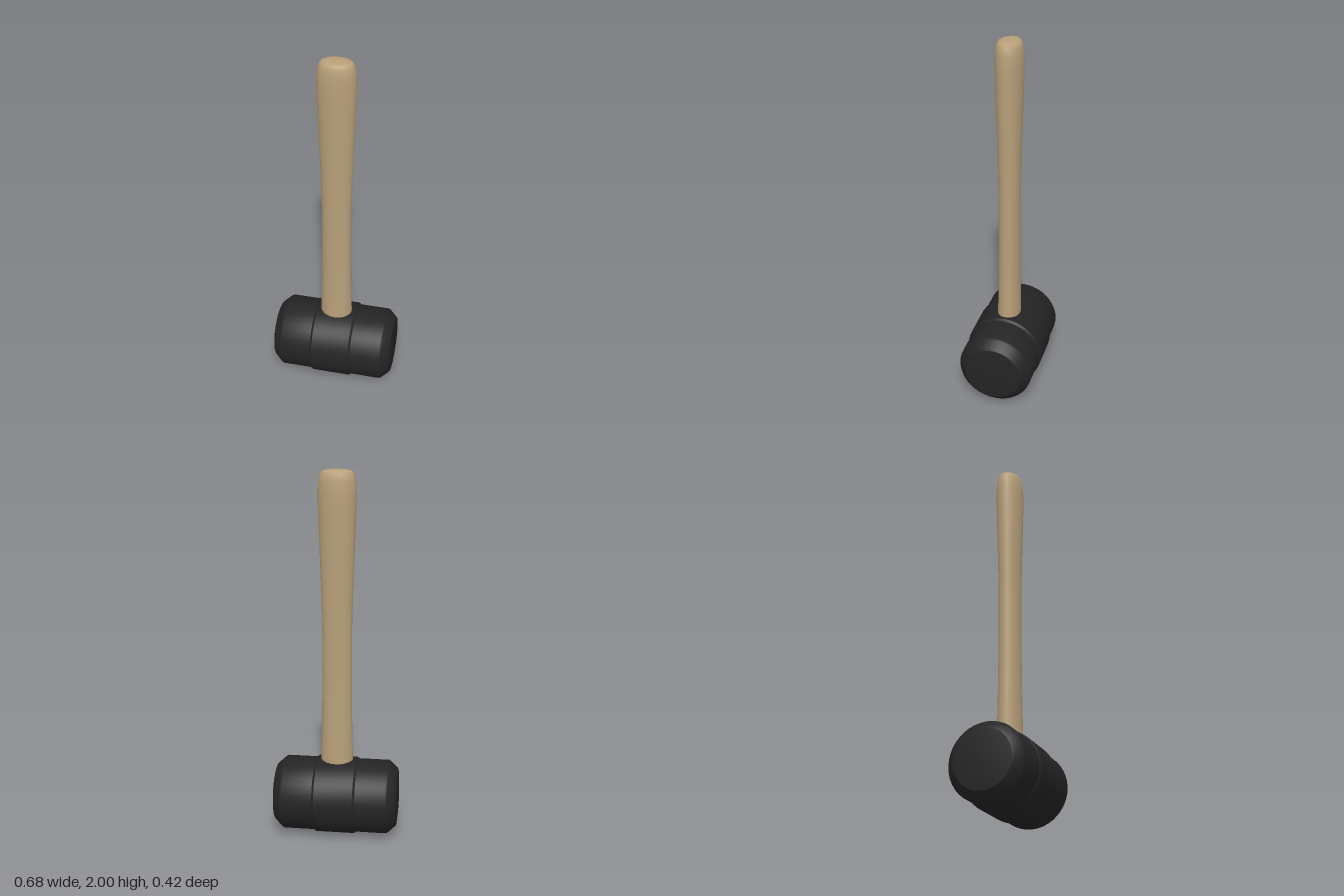
import * as THREE from 'three';
import { toCreasedNormals } from 'three/addons/utils/BufferGeometryUtils.js';

const HEAD_Y = 0.212;

function latheFrom(points, segments) {
  return new THREE.LatheGeometry(points.map(([r, y]) => new THREE.Vector2(r, y)), segments);
}

export function createModel() {
  const rubber = new THREE.MeshStandardMaterial({ color: 0x242424 });
  rubber.name = 'black rubber';
  const wood = new THREE.MeshStandardMaterial({ color: 0xb8a079 });
  wood.name = 'pale wood';

  const model = new THREE.Group();
  model.name = 'mallet';

  // Head: half profile (radius, distance from centre), mirrored and laid along x
  const half = [
    [0, 0.341], [0.1, 0.341], [0.155, 0.336], [0.162, 0.331], [0.198, 0.292],
    [0.203, 0.282], [0.203, 0.117], [0.212, 0.105],
  ];
  const profile = [...half.map(([r, d]) => [r, -d]), ...half.slice().reverse()];
  const headGeometry = toCreasedNormals(latheFrom(profile, 40), 0.5);
  headGeometry.rotateZ(-Math.PI / 2);
  const head = new THREE.Mesh(headGeometry, rubber);
  head.name = 'head';
  head.position.y = HEAD_Y;
  model.add(head);

  // Handle: oval section, slim in the middle with a swollen grip and rounded end
  const grip = latheFrom([
    [0, 0.3], [0.089, 0.3], [0.088, 0.43], [0.083, 0.65], [0.08, 0.9], [0.08, 1.15],
    [0.084, 1.35], [0.092, 1.58], [0.099, 1.78], [0.101, 1.88], [0.098, 1.94],
    [0.09, 1.975], [0.077, 1.992], [0.05, 1.998], [0, 2],
  ], 24);
  grip.scale(1, 1, 0.715);
  const handle = new THREE.Mesh(grip, wood);
  handle.name = 'handle';
  model.add(handle);

  return model;
}
